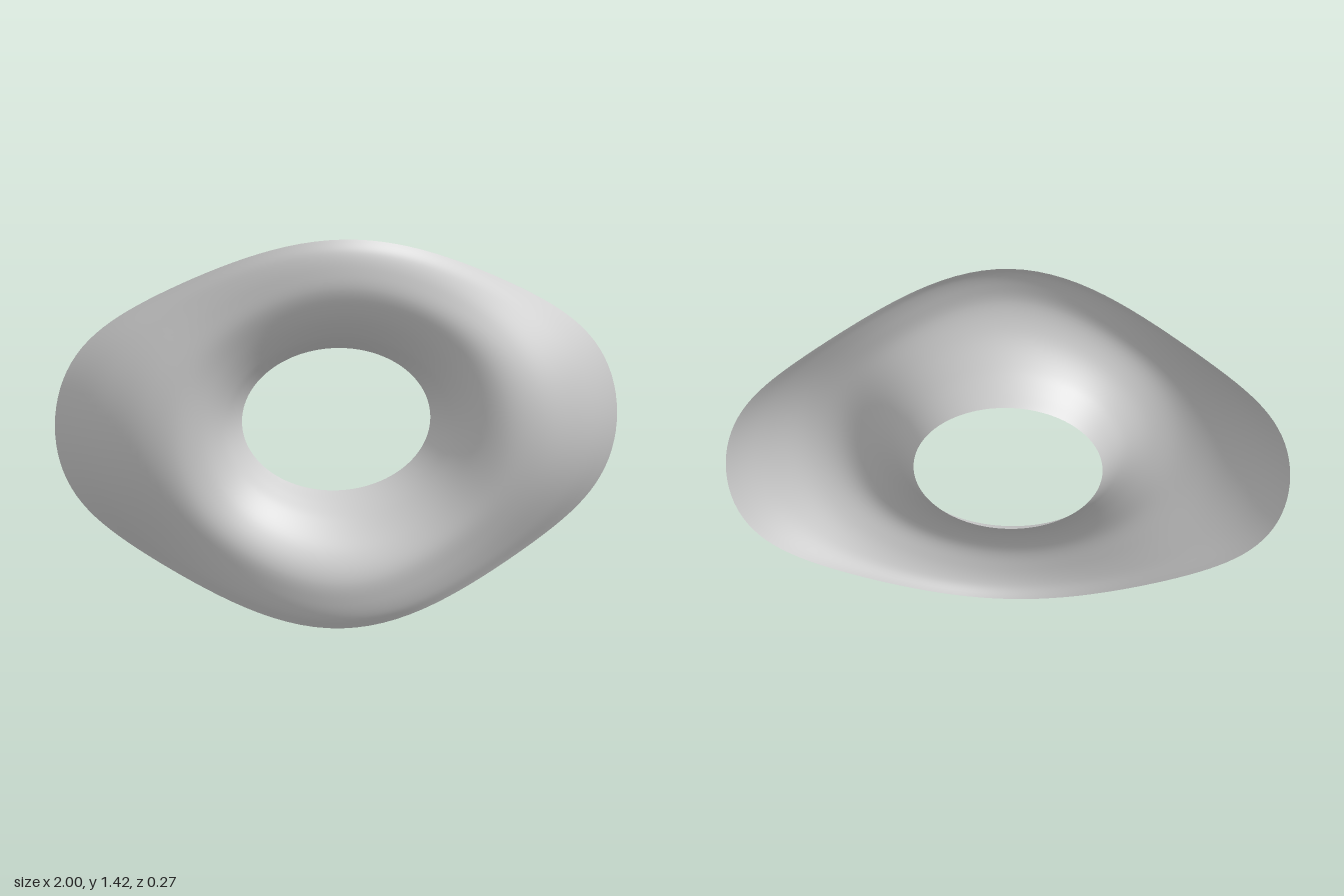
import * as THREE from 'three';

// Rings from the hole to the outer rim:
// [half width, half height, depth at the sides, on the diagonals, at top and bottom]
const RINGS = [
  [0.335, 0.26, -0.13, -0.13, -0.13],
  [0.375, 0.295, -0.065, -0.07, -0.065],
  [0.42, 0.34, 0.0, -0.01, 0.0],
  [0.50, 0.43, 0.07, 0.055, 0.085],
  [0.60, 0.53, 0.104, 0.086, 0.13],
  [0.72, 0.61, 0.085, 0.06, 0.128],
  [0.86, 0.67, 0.0, 0.0, 0.112],
  [1.0, 0.71, -0.135, -0.085, 0.085],
];
const CENTRE_Y = 0.71;
const AROUND = 128;
const ACROSS = 40;

// A point on a ring; outer rings are pinched a little along the diagonals
function ringPoint([a, b, side, diagonal, top], t) {
  const s = (a - RINGS[0][0]) / (1 - RINGS[0][0]);
  const pinch = 1 - 0.11 * s * Math.sin(2 * t) ** 2;
  const mean = (side + top) / 2;
  const z = (mean + diagonal) / 2
    + ((side - top) / 2) * Math.cos(2 * t)
    + ((mean - diagonal) / 2) * Math.cos(4 * t);
  return new THREE.Vector3(a * Math.cos(t), CENTRE_Y + b * Math.sin(t) * pinch, z);
}

// Loft smooth radial curves round the hole into one closed band
function createBand() {
  const positions = [];
  const indices = [];
  const row = ACROSS + 1;
  for (let i = 0; i < AROUND; i++) {
    const t = (i / AROUND) * Math.PI * 2;
    const curve = new THREE.CatmullRomCurve3(RINGS.map((r) => ringPoint(r, t)), false, 'centripetal');
    for (let j = 0; j <= ACROSS; j++) positions.push(...curve.getPoint(j / ACROSS).toArray());
    const next = (i + 1) % AROUND;
    for (let j = 0; j < ACROSS; j++) {
      const p = i * row + j;
      const q = next * row + j;
      indices.push(p, p + 1, q + 1, p, q + 1, q);
    }
  }
  const geometry = new THREE.BufferGeometry();
  geometry.setAttribute('position', new THREE.Float32BufferAttribute(positions, 3));
  geometry.setIndex(indices);
  geometry.computeVertexNormals();
  return geometry;
}

export function createModel() {
  const model = new THREE.Group();
  model.name = 'curvedRing';
  const material = new THREE.MeshStandardMaterial({ color: 0xcccccc, side: THREE.DoubleSide });
  const band = new THREE.Mesh(createBand(), material);
  band.name = 'saddleBand';
  model.add(band);
  return model;
}
